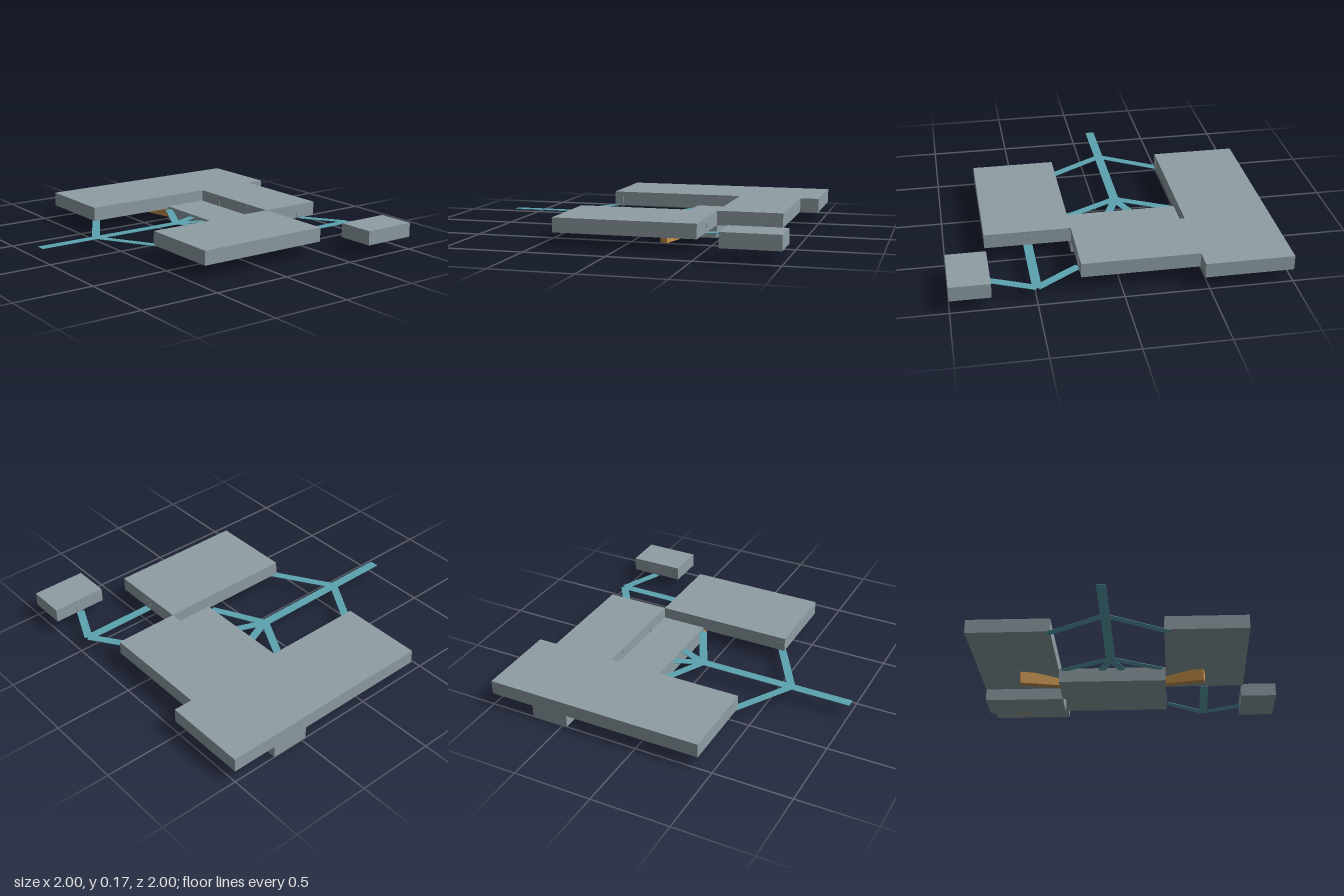
import * as THREE from 'three';

export function createModel() {
  const root = new THREE.Group();
  const mat = (name, color) => {
    const m = new THREE.MeshStandardMaterial({ color });
    m.name = name;
    return m;
  };
  const grey = mat('wallGrey', 0x8f9ea4);
  const teal = mat('pathTeal', 0x5ba3b0);
  const ochre = mat('rampOchre', 0xc8924c);

  const add = (name, geo, material) => {
    const mesh = new THREE.Mesh(geo, material);
    mesh.name = name;
    root.add(mesh);
    return mesh;
  };

  // Box given by its extents
  const block = (name, x0, x1, y0, y1, z0, z1, material = grey) =>
    add(name, new THREE.BoxGeometry(x1 - x0, y1 - y0, z1 - z0), material)
      .position.set((x0 + x1) / 2, (y0 + y1) / 2, (z0 + z1) / 2);

  // Upper storey
  const floor = 0.08, roof = 0.17;
  block('rightWing', -1, -0.47, floor, roof, -1, 0.41);
  block('centreHall', -0.47, 0.235, floor, roof, -0.88, -0.47);
  block('leftWing', 0.235, 0.76, floor, roof, -0.47, 0.41);
  block('outbuilding', 0.76, 1, floor, roof, -1, -0.65);

  // Lower storey with its terrace roof
  block('lowerHall', -0.47, 0.235, 0, floor, -0.47, -0.18);
  block('terrace', -0.47, 0.235, floor, 0.095, -0.47, -0.18);
  block('lowerRoom', -1, -0.47, 0, floor, -0.71, -0.47);

  // Doors as thin plates on the walls
  const door = (x, y, z, alongZ) => block('door',
    x - (alongZ ? 0.002 : 0.03), x + (alongZ ? 0.002 : 0.03), y, y + 0.06,
    z - (alongZ ? 0.03 : 0.002), z + (alongZ ? 0.03 : 0.002));
  door(-0.3, 0.095, -0.47, false);
  door(0.055, 0.095, -0.47, false);
  door(0.5, floor, -0.47, false);
  door(-0.47, floor, 0.38, true);
  door(0.235, floor, 0.38, true);
  door(0.235, floor, -0.76, true);
  door(0.76, floor, -0.82, true);
  door(-0.47, 0.01, -0.495, true);

  // Ramps climbing from the lower hall to the wings
  const profile = new THREE.Shape([
    [0, 0], [0.28, 0], [0.28, 0.05], [0.26, 0.05], [0.09, 0.079], [0, 0.079],
  ].map(([x, y]) => new THREE.Vector2(x, y)));
  const rampGeo = new THREE.ExtrudeGeometry(profile, { depth: 0.045, bevelEnabled: false });
  rampGeo.translate(0, 0, -0.0225);
  for (const [x, turn] of [[-0.73, 0.209], [0.49, Math.PI - 0.209]]) {
    const ramp = add('ramp', rampGeo, ochre);
    ramp.position.set(x, 0.0005, -0.2025);
    ramp.rotation.y = turn;
  }
  block('rearRamp', -0.79, -0.735, 0.0005, 0.079, -0.73, -0.66, ochre);

  // Flat walkways between two points on plan
  const path = (x0, z0, x1, z1, width = 0.055) => {
    const length = Math.hypot(x1 - x0, z1 - z0);
    const walk = add('walkway', new THREE.BoxGeometry(length, 0.003, width), teal);
    walk.position.set((x0 + x1) / 2, floor - 0.0015, (z0 + z1) / 2);
    walk.rotation.y = -Math.atan2(z1 - z0, x1 - x0);
  };
  const axis = -0.118;
  path(axis, -0.01, axis, 1, 0.058);
  for (const s of [-1, 1]) {
    path(axis, 0.61, axis + s * 0.38, 0.38, 0.05);
    path(axis, 0.0, axis + s * 0.33, -0.17, 0.05);
    path(axis, -0.01, axis + s * 0.07, -0.18, 0.05);
  }
  path(0.498, -0.47, 0.498, -0.94);
  path(0.498, -0.94, 0.235, -0.76, 0.05);
  path(0.498, -0.94, 0.76, -0.825, 0.05);

  return root;
}
